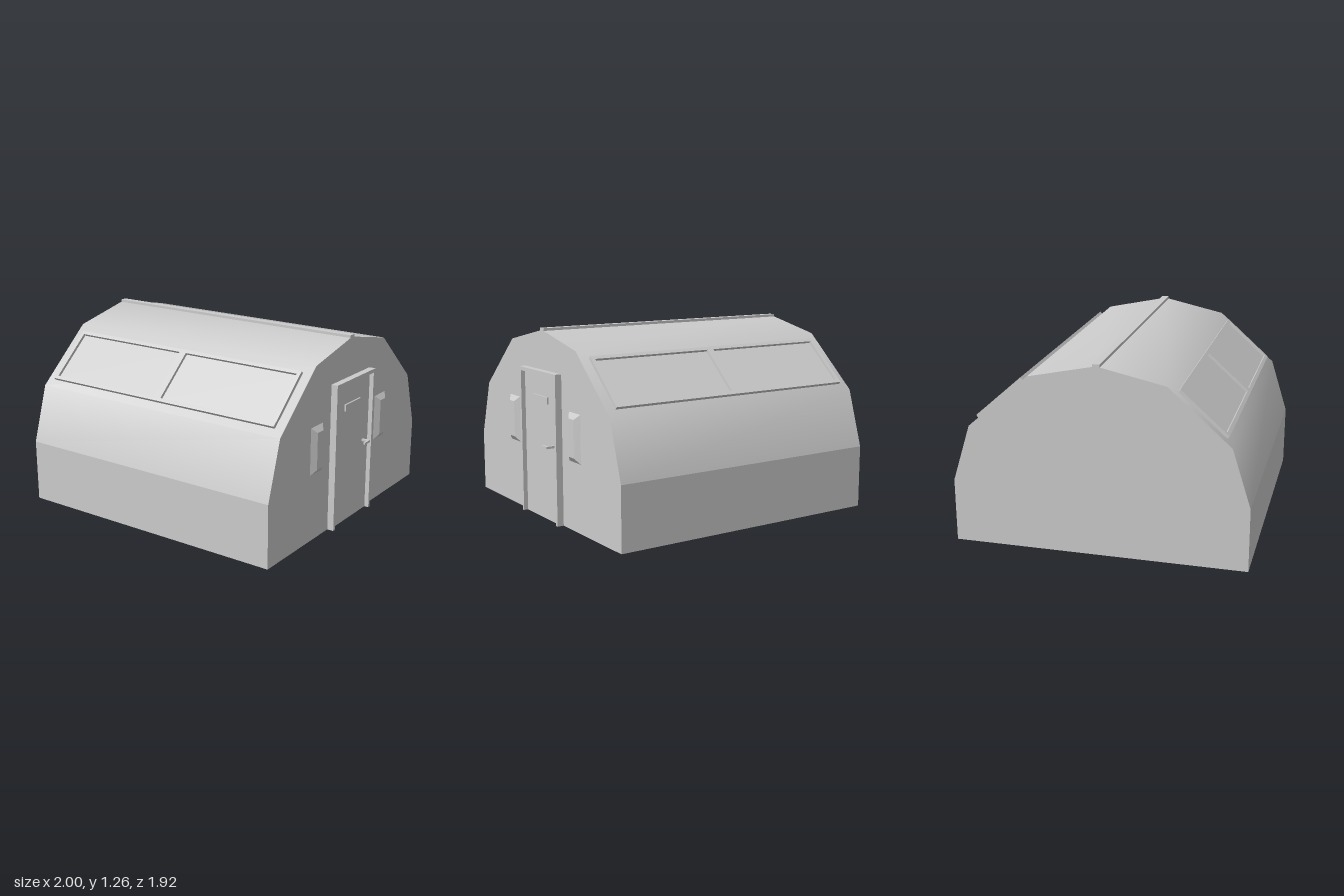
import * as THREE from 'three';

const material = new THREE.MeshStandardMaterial({ color: 0xcccccc });
const X0 = -1, X1 = 0.93;

function add(parent, name, geometry, x = 0, y = 0, z = 0) {
  const mesh = new THREE.Mesh(geometry, material);
  mesh.name = name;
  mesh.position.set(x, y, z);
  parent.add(mesh);
  return mesh;
}

// Box given by its minimum and maximum corners
function block(parent, name, a, b) {
  const [w, h, d] = a.map((v, i) => b[i] - v);
  return add(parent, name, new THREE.BoxGeometry(w, h, d), ...a.map((v, i) => (v + b[i]) / 2));
}

function rect(path, x0, y0, x1, y1) {
  path.moveTo(x0, y0);
  path.lineTo(x1, y0);
  path.lineTo(x1, y1);
  path.lineTo(x0, y1);
  path.closePath();
  return path;
}

// Skin along x through [z, y] points running from back to front; smooth inside one strip
function strip(points) {
  const geo = new THREE.PlaneGeometry(1, 1, 1, points.length - 1);
  const pos = geo.attributes.position;
  for (let i = 0; i < pos.count; i++) {
    const [z, y] = points[i >> 1];
    pos.setXYZ(i, i % 2 ? X1 : X0, y, z);
  }
  geo.computeVertexNormals();
  return geo;
}

// Flat-ended hut with a smooth faceted vault on vertical walls
function makeBody() {
  const body = new THREE.Group();
  body.name = 'body';
  const half = [[0.96, 0.42], [0.84, 0.8], [0.44, 1.155]];
  const arch = [...half.map(([z, y]) => [-z, y]), [0, 1.25], ...half.slice().reverse()];
  add(body, 'roof', strip(arch));
  add(body, 'frontWall', strip([[0.96, 0.42], [0.96, 0]]));
  add(body, 'backWall', strip([[-0.96, 0], [-0.96, 0.42]]));
  add(body, 'floor', strip([[0.96, 0], [-0.96, 0]]));
  const outline = [[-0.96, 0], ...arch, [0.96, 0]].map(([z, y]) => new THREE.Vector2(z, y));
  const end = new THREE.ShapeGeometry(new THREE.Shape(outline));
  add(body, 'leftEndWall', end, X1).rotation.y = Math.PI / 2;
  add(body, 'rightEndWall', end, X0).rotation.y = -Math.PI / 2;
  block(body, 'ridgeCap', [X0, 1.225, -0.024], [X1, 1.262, 0.024]);
  return body;
}

// Two-pane skylight lying on the steep roof slope
function makeSkylight(side) {
  const pivot = new THREE.Group();
  pivot.name = side > 0 ? 'frontSkylight' : 'backSkylight';
  pivot.position.x = -0.0375;
  pivot.rotation.y = side > 0 ? 0 : Math.PI;
  const slope = new THREE.Group();
  slope.position.set(0, 0.974, 0.643);
  slope.rotation.x = -0.845;
  pivot.add(slope);
  const shape = rect(new THREE.Shape(), -0.9025, -0.205, 0.9025, 0.205);
  for (const s of [-1, 1]) {
    const [a, b] = s < 0 ? [-0.8775, -0.025] : [0.025, 0.8775];
    shape.holes.push(rect(new THREE.Path(), a, -0.18, b, 0.18));
    block(slope, 'pane', [a, -0.18, -0.003], [b, 0.18, 0.004]);
  }
  add(slope, 'skylightFrame', new THREE.ExtrudeGeometry(shape, { depth: 0.022, bevelEnabled: false }));
  return pivot;
}

function makeDoor() {
  const door = new THREE.Group();
  door.name = 'door';
  // Surround open at the threshold
  const outline = [[-0.25, 0], [-0.25, 0.99], [0.25, 0.99], [0.25, 0],
    [0.23, 0], [0.23, 0.965], [-0.23, 0.965], [-0.23, 0]];
  const shape = new THREE.Shape(outline.map(([x, y]) => new THREE.Vector2(x, y)));
  const frame = new THREE.ExtrudeGeometry(shape, { depth: 0.045, bevelEnabled: false });
  add(door, 'doorFrame', frame, X1).rotation.y = Math.PI / 2;
  block(door, 'doorPanel', [0.925, 0, -0.23], [0.945, 0.965, 0.23]);
  block(door, 'letterSlot', [0.945, 0.777, -0.1], [0.955, 0.822, 0.1]);
  // Lever handle on a short stem
  block(door, 'handleStem', [0.945, 0.5, -0.168], [0.99, 0.515, -0.153]);
  block(door, 'handleLever', [0.986, 0.5, -0.168], [1, 0.515, -0.1]);
  return door;
}

// Raised window with bevelled sides
function makeWindow() {
  const geo = new THREE.BoxGeometry(0.027, 0.315, 0.143);
  const pos = geo.attributes.position;
  for (let i = 0; i < pos.count; i++) {
    if (pos.getX(i) > 0) {
      pos.setY(i, pos.getY(i) * 0.78);
      pos.setZ(i, pos.getZ(i) * 0.46);
    }
  }
  geo.computeVertexNormals();
  return geo;
}

export function createModel() {
  const model = new THREE.Group();
  model.name = 'hut';
  model.add(makeBody(), makeSkylight(1), makeSkylight(-1), makeDoor());
  for (const s of [-1, 1]) add(model, 'sideWindow', makeWindow(), X1 + 0.0135, 0.608, s * 0.416);
  return model;
}
